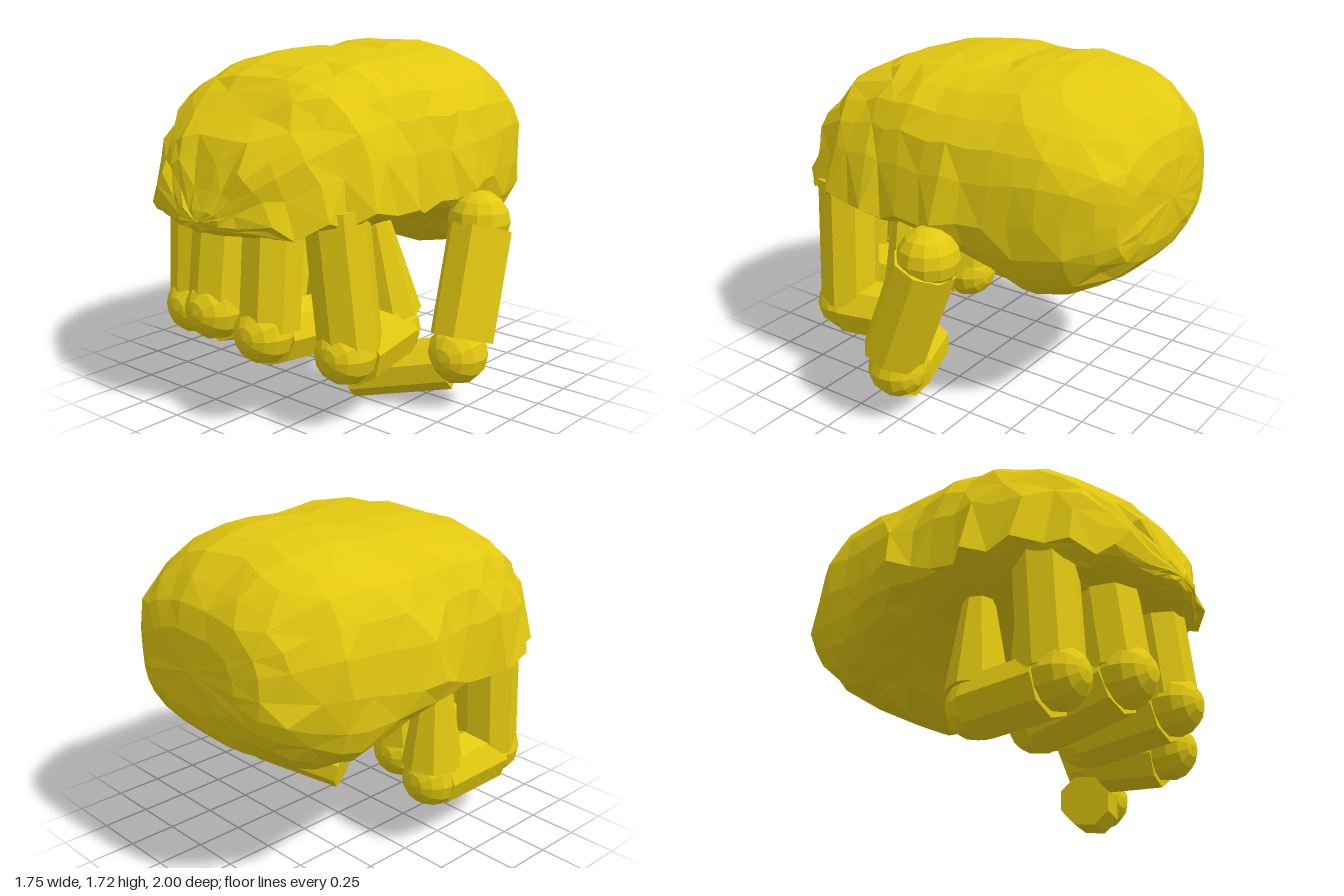
import * as THREE from 'three';

const material = new THREE.MeshStandardMaterial({ color: 0xe2c810, flatShading: true });
const V = (p) => new THREE.Vector3(...p);

// small seeded noise in -1..1
function makeNoise(seed) {
  return () => {
    seed = (seed * 16807) % 2147483647;
    return (seed / 2147483647) * 2 - 1;
  };
}

function addMesh(parent, name, geometry) {
  const mesh = new THREE.Mesh(geometry, material);
  mesh.name = name;
  parent.add(mesh);
  return mesh;
}

// tapered prism running from point a to point b
function addBone(parent, name, a, b, ra, rb) {
  const from = V(a), to = V(b), dir = to.clone().sub(from);
  const mesh = addMesh(parent, name, new THREE.CylinderGeometry(rb, ra, dir.length(), 8));
  mesh.position.copy(from).add(to).multiplyScalar(0.5);
  mesh.quaternion.setFromUnitVectors(new THREE.Vector3(0, 1, 0), dir.normalize());
}

function addJoint(parent, name, p, r, upright = false) {
  const geometry = new THREE.SphereGeometry(r, 12, 8);
  if (!upright) geometry.rotateX(Math.PI / 2);
  addMesh(parent, name, geometry).position.copy(V(p));
}

// back of the hand: cross-sections along z
function palmGeometry() {
  // z, xMin, xMax, yBottom, yRim, yTop, flare of the rim
  const sections = [
    [-0.985, -0.4, 0.25, 0.95, 1.13, 1.33, 0],
    [-0.95, -0.53, 0.36, 0.86, 1.13, 1.45, 0],
    [-0.88, -0.63, 0.44, 0.78, 1.13, 1.54, 0],
    [-0.77, -0.7, 0.52, 0.7, 1.12, 1.64, 0],
    [-0.65, -0.76, 0.56, 0.635, 1.12, 1.695, 0],
    [-0.53, -0.78, 0.59, 0.62, 1.1, 1.72, 0],
    [-0.4, -0.8, 0.605, 0.68, 1.08, 1.73, 0],
    [-0.28, -0.81, 0.61, 0.76, 1.07, 1.715, 0.03],
    [-0.17, -0.815, 0.62, 0.83, 1.07, 1.7, 0.06],
    [-0.04, -0.81, 0.615, 0.87, 1.02, 1.71, 0.02],
    [0.09, -0.8, 0.61, 0.89, 1.03, 1.71, 0.02],
    [0.2, -0.785, 0.595, 0.9, 0.99, 1.695, 0.02],
    [0.31, -0.77, 0.58, 0.9, 1.04, 1.68, 0.09],
    [0.42, -0.75, 0.56, 0.9, 1.0, 1.65, 0.06],
    [0.54, -0.71, 0.535, 0.9, 1.05, 1.6, 0.09],
    [0.64, -0.65, 0.485, 0.9, 0.98, 1.54, 0.03],
    [0.74, -0.59, 0.425, 0.9, 1.03, 1.45, 0.07],
    [0.84, -0.49, 0.325, 0.91, 0.97, 1.36, 0.06],
    [0.91, -0.41, 0.24, 0.92, 1.0, 1.25, 0.08],
    [0.95, -0.29, 0.14, 0.93, 0.98, 1.13, 0.05],
    [0.985, -0.2, 0.06, 0.95, 0.99, 1.04, 0],
  ];
  const sides = 26, noise = makeNoise(41), points = [], index = [];
  const signedPow = (v, p) => Math.sign(v) * Math.abs(v) ** p;
  sections.forEach(([z, x0, x1, yb, yr, yt, flare]) => {
    const nearEnd = Math.abs(z) > 0.94;
    for (let j = 0; j < sides; j++) {
      const a = (j / sides) * Math.PI * 2, c = Math.cos(a), s = Math.sin(a);
      // shoulders grow squarer towards the knuckles, heel is full and round
      const upper = THREE.MathUtils.lerp(0.82, 0.64, THREE.MathUtils.smoothstep(z, -0.4, 0.3));
      const p = s > 0 ? upper : z < -0.1 ? 0.78 : 0.92;
      // ragged edge that stands out only around the rim
      const edge = z > -0.3 && !nearEnd ? Math.max(0, 1 - Math.abs(s) / 0.36) : 0;
      const halfWidth = (x1 - x0) / 2 + flare * edge;
      points.push(
        (x0 + x1) / 2 + halfWidth * signedPow(c, p) + noise() * 0.012,
        yr + (s > 0 ? yt - yr : yr - yb) * signedPow(s, p) + noise() * (0.008 + 0.022 * edge),
        z + noise() * (nearEnd ? 0.006 : 0.025)
      );
    }
  });
  const ring = (i, j) => i * sides + (j % sides);
  const last = sections.length - 1, backPole = points.length / 3, frontPole = backPole + 1;
  points.push(-0.08, 1.15, -1, -0.07, 0.99, 1);
  for (let j = 0; j < sides; j++) {
    for (let i = 0; i < last; i++) {
      const a = ring(i, j), b = ring(i, j + 1), c = ring(i + 1, j + 1), d = ring(i + 1, j);
      if ((i + j) % 2) index.push(a, b, d, b, c, d);
      else index.push(a, b, c, a, c, d);
    }
    index.push(backPole, ring(0, j + 1), ring(0, j));
    index.push(frontPole, ring(last, j), ring(last, j + 1));
  }
  const geometry = new THREE.BufferGeometry();
  geometry.setAttribute('position', new THREE.Float32BufferAttribute(points, 3));
  geometry.setIndex(index);
  const flat = geometry.toNonIndexed();
  flat.computeVertexNormals();
  return flat;
}

// curled finger: down from the rim, back under the palm, up into it
function addFinger(parent, name, base, knuckle, back, tip, r) {
  const finger = new THREE.Group();
  finger.name = name;
  addBone(finger, 'upperSegment', base, [knuckle[0], knuckle[1] + 0.02, knuckle[2] - 0.03], r, r);
  addJoint(finger, 'frontJoint', knuckle, r * 0.97);
  addBone(finger, 'middleSegment', [knuckle[0], knuckle[1] - 0.02, knuckle[2] - 0.04], back, r, r);
  addJoint(finger, 'backJoint', back, r * 0.95);
  addBone(finger, 'fingertip', [back[0], back[1] + 0.08, back[2]], tip, r * 0.98, r * 0.5);
  parent.add(finger);
}

export function createModel() {
  const hand = new THREE.Group();
  hand.name = 'fist';
  addMesh(hand, 'palm', palmGeometry());

  addFinger(hand, 'littleFinger', [-0.54, 1.0, 0.54], [-0.54, 0.41, 0.6], [-0.53, 0.38, 0.15], [-0.53, 0.92, 0.15], 0.158);
  addFinger(hand, 'ringFinger', [-0.22, 1.0, 0.66], [-0.22, 0.49, 0.75], [-0.21, 0.385, 0.27], [-0.21, 0.92, 0.22], 0.16);
  addFinger(hand, 'middleFinger', [0.14, 1.0, 0.71], [0.15, 0.46, 0.79], [0.15, 0.4, 0.3], [0.14, 0.92, 0.31], 0.152);
  addFinger(hand, 'indexFinger', [0.405, 1.05, 0.58], [0.465, 0.375, 0.58], [0.41, 0.375, 0.18], [0.35, 0.92, 0.24], 0.154);

  // thumb folded across the front
  const thumb = new THREE.Group();
  thumb.name = 'thumb';
  addJoint(thumb, 'thumbBaseJoint', [0.685, 0.9, -0.155], 0.153, true);
  addBone(thumb, 'thumbUpperSegment', [0.7, 0.87, -0.145], [0.73, 0.36, 0.035], 0.157, 0.157);
  addJoint(thumb, 'thumbMiddleJoint', [0.705, 0.275, 0.03], 0.15);
  addBone(thumb, 'thumbTip', [0.655, 0.215, 0.03], [0.215, 0.118, 0.24], 0.13, 0.125);
  hand.add(thumb);
  return hand;
}
